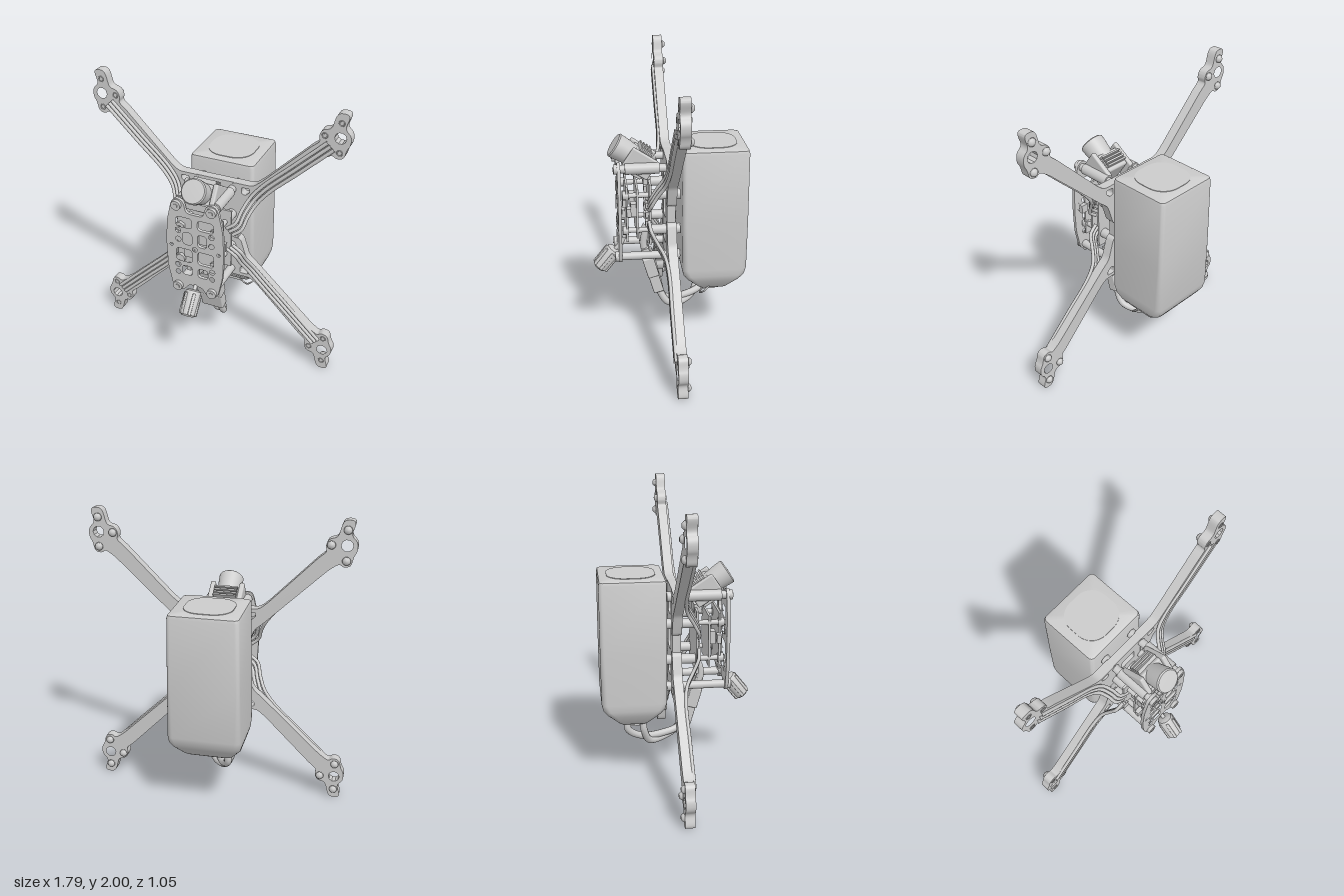
import * as THREE from 'three';
import { toCreasedNormals } from 'three/addons/utils/BufferGeometryUtils.js';
import { RoundedBoxGeometry } from 'three/addons/geometries/RoundedBoxGeometry.js';

const material = new THREE.MeshStandardMaterial({ color: 0xcccccc });
const V = (x, y, z) => new THREE.Vector3(x, y, z);

function add(parent, name, geometry, x = 0, y = 0, z = 0) {
  const mesh = new THREE.Mesh(geometry, material);
  mesh.name = name;
  mesh.position.set(x, y, z);
  parent.add(mesh);
  return mesh;
}

// Polygon with rounded corners
function roundPoly(points, r, PathType = THREE.Shape) {
  const path = new PathType();
  points.forEach((p, i) => {
    const c = new THREE.Vector2(...p);
    const n = points.length;
    const toward = (q) => {
      const d = new THREE.Vector2(...q).sub(c);
      return d.setLength(Math.min(r, d.length() * 0.48)).add(c);
    };
    const a = toward(points[(i + n - 1) % n]), b = toward(points[(i + 1) % n]);
    if (i) path.lineTo(a.x, a.y); else path.moveTo(a.x, a.y);
    path.quadraticCurveTo(c.x, c.y, b.x, b.y);
  });
  path.closePath();
  return path;
}

const rectHole = (x0, y0, x1, y1, r) =>
  roundPoly([[x0, y0], [x1, y0], [x1, y1], [x0, y1]], r, THREE.Path);
const circleHole = (x, y, r) => new THREE.Path().absarc(x, y, r, 0, Math.PI * 2, true);

function plate(parent, name, shape, z0, z1) {
  const g = new THREE.ExtrudeGeometry(shape, { depth: z1 - z0, bevelEnabled: false, curveSegments: 5 });
  return add(parent, name, toCreasedNormals(g, 0.6), 0, 0, z0);
}

// Cylinder along z
function rod(parent, name, r, x, y, z0, z1, sides = 20) {
  const g = new THREE.CylinderGeometry(r, r, z1 - z0, sides).rotateX(Math.PI / 2);
  return add(parent, name, g, x, y, (z0 + z1) / 2);
}

function box(parent, name, w, h, d, x, y, z) {
  return add(parent, name, new THREE.BoxGeometry(w, h, d), x, y, z);
}

function cable(parent, name, points, r) {
  return add(parent, name, new THREE.TubeGeometry(new THREE.CatmullRomCurve3(points), 40, r, 10));
}

// Skin over rounded rectangles [y, half width, half depth, corner radius], bottom to top
function loft(sections) {
  const pos = [], index = [], per = 8, n = per * 4;
  for (const [y, w, d, r] of sections) {
    for (let i = 0; i < n; i++) {
      const q = Math.floor(i / per), a = (q + (i % per) / (per - 1)) * Math.PI / 2;
      const sx = q === 0 || q === 3 ? 1 : -1, sz = q < 2 ? 1 : -1;
      pos.push(sx * (w - r) + r * Math.cos(a), y, sz * (d - r) + r * Math.sin(a));
    }
  }
  for (let s = 0; s < sections.length - 1; s++) {
    for (let i = 0; i < n; i++) {
      const a = s * n + i, b = s * n + (i + 1) % n;
      index.push(a, a + n, b, b, a + n, b + n);
    }
  }
  const g = new THREE.BufferGeometry();
  g.setAttribute('position', new THREE.Float32BufferAttribute(pos, 3));
  g.setIndex(index);
  return toCreasedNormals(g, 0.6);
}

function buildArm(root, sx, sy) {
  const arm = new THREE.Group();
  arm.name = (sy > 0 ? 'upper' : 'lower') + (sx > 0 ? 'Left' : 'Right') + 'Arm';
  root.add(arm);
  const at = ([x, y]) => [sx * x, 1 + sy * y];
  const outline = [[0.865, 1], [0.81, 1], [0.79, 0.975], [0.768, 0.885], [0.71, 0.875], [0.69, 0.825],
    [0.705, 0.79], [0.655, 0.75], [0.33, 0.42], [0.27, 0.37], [0.12, 0.37], [0.12, 0.06], [0.19, 0.06],
    [0.24, 0.22], [0.30, 0.27], [0.72, 0.67], [0.785, 0.715], [0.81, 0.69], [0.86, 0.70],
    [0.872, 0.765], [0.895, 0.80], [0.895, 0.86], [0.85, 0.9], [0.876, 0.975]];
  const shape = roundPoly(outline.map(at), 0.03);
  shape.holes.push(circleHole(...at([0.828, 0.835]), 0.038));
  shape.holes.push(roundPoly([[0.19, 0.345], [0.25, 0.345], [0.25, 0.32], [0.22, 0.29], [0.19, 0.3]].map(at), 0.01, THREE.Path));
  plate(arm, 'armPlate', shape, -0.05, 0.015);

  // Motor screws with domed heads behind
  for (const p of [[0.828, 0.935], [0.728, 0.835], [0.828, 0.735]]) {
    const [x, y] = at(p);
    const dome = new THREE.LatheGeometry([[0, -0.024], [0.014, -0.023], [0.025, -0.012], [0.029, 0], [0, 0]]
      .map(([r, h]) => new THREE.Vector2(r, h)), 18).rotateX(Math.PI / 2);
    add(arm, 'motorScrewHead', dome, x, y, -0.05);
    add(arm, 'motorScrewRim', new THREE.TorusGeometry(0.017, 0.004, 6, 18), x, y, 0.015);
  }

  // Three motor wires that bend forward into the stack
  for (let k = -1; k <= 1; k++) {
    const o = k * 0.021;
    const path = [[0.775, 0.775, 0.02], [0.55, 0.555, 0.02], [0.36, 0.37, 0.02], [0.285, 0.275, 0.038],
      [0.245, 0.19, 0.085], [0.22, 0.11, 0.125], [0.16, 0.06, 0.135]];
    cable(arm, 'motorWire', path.map(([x, y, z]) => V(sx * (x + o), 1 + sy * (y - o), z)), 0.012);
  }
}

function buildBattery(root) {
  const battery = new THREE.Group();
  battery.name = 'battery';
  battery.position.z = -0.31;
  root.add(battery);
  add(battery, 'batteryPack', loft([[0.415, 0, 0, 0], [0.415, 0.15, 0.085, 0.03], [0.43, 0.175, 0.105, 0.04],
    [0.51, 0.235, 0.185, 0.06], [0.55, 0.246, 0.212, 0.05], [0.6, 0.248, 0.223, 0.04], [0.95, 0.241, 0.224, 0.03],
    [1.43, 0.234, 0.222, 0.03], [1.45, 0.228, 0.216, 0.03], [1.457, 0.212, 0.2, 0.03], [1.457, 0, 0, 0]]));
  add(battery, 'topPatch', loft([[1.457, 0.163, 0.163, 0.125], [1.461, 0.163, 0.163, 0.125], [1.461, 0, 0, 0]]));
  box(battery, 'leadOutlet', 0.2, 0.04, 0.09, 0, 0.4, 0.02);
  cable(root, 'powerLead', [V(-0.13, 0.44, -0.36), V(-0.13, 0.37, -0.35), V(-0.08, 0.295, -0.25),
    V(-0.01, 0.275, -0.1), V(0.03, 0.30, 0.02), V(0.01, 0.39, 0.07)], 0.025);
  cable(root, 'powerLead', [V(-0.13, 0.44, -0.25), V(-0.13, 0.36, -0.24), V(-0.08, 0.26, -0.2),
    V(0.01, 0.235, -0.1), V(0.06, 0.27, 0), V(0.055, 0.39, 0.07)], 0.025);
  cable(root, 'balanceLead', [V(0.16, 0.45, -0.3), V(0.2, 0.42, -0.25), V(0.16, 0.385, -0.22), V(0.08, 0.39, -0.25)], 0.006);
}

function buildBody(root) {
  // Centre of the main frame, with slots
  const core = roundPoly([[-0.17, 0.63], [0.17, 0.63], [0.17, 1.37], [-0.17, 1.37]], 0.03);
  core.holes.push(rectHole(-0.06, 1.17, 0.06, 1.27, 0.02), rectHole(-0.06, 0.73, 0.06, 0.83, 0.02),
    rectHole(-0.07, 0.92, 0.07, 1.08, 0.03));
  plate(root, 'corePlate', core, -0.046, 0.012);

  // Front cover with its cut-outs
  const half = [[0.06, 1.265], [0.08, 1.35], [0.13, 1.37], [0.165, 1.34], [0.2, 1.18], [0.208, 1.0],
    [0.2, 0.82], [0.165, 0.66], [0.13, 0.635], [0.08, 0.65], [0.05, 0.7]];
  const cover = roundPoly([...half, ...half.map(([x, y]) => [-x, y]).reverse()], 0.03);
  cover.holes.push(circleHole(0, 1, 0.018));
  for (const s of [-1, 1]) {
    for (const [x0, y0, x1, y1] of [[0.02, 1.155, 0.135, 1.23], [0.02, 1.025, 0.085, 1.12],
      [0.02, 0.885, 0.135, 0.985], [0.02, 0.78, 0.095, 0.85]]) {
      cover.holes.push(rectHole(s * x0, y0, s * x1, y1, 0.025));
    }
    for (const [x, y, r] of [[0.12, 1.125, 0.02], [0.12, 1.055, 0.02], [0.125, 0.85, 0.02], [0.125, 0.79, 0.018], [0.17, 1.0, 0.012]]) {
      cover.holes.push(circleHole(s * x, y, r));
    }
  }
  plate(root, 'frontCover', cover, 0.32, 0.342);

  for (const x of [-0.125, 0.125]) {
    // Frame standoffs
    for (const y of [0.68, 1.32]) {
      rod(root, 'standoff', 0.028, x, y, 0.01, 0.32);
      rod(root, 'standoffScrew', 0.034, x, y, 0.342, 0.365);
      rod(root, 'screwSocket', 0.016, x, y, 0.365, 0.37, 6);
      rod(root, 'rearScrew', 0.034, x, y, -0.08, -0.05);
    }
    // Electronics bolts
    for (const y of [0.875, 1.13]) {
      rod(root, 'stackBolt', 0.018, x, y, -0.05, 0.31);
      rod(root, 'stackSpacer', 0.034, x, y, 0.015, 0.115);
      rod(root, 'stackNut', 0.034, x, y, 0.27, 0.31, 6);
      rod(root, 'stackBoltHead', 0.036, x, y, -0.08, -0.05);
    }
  }

  // Circuit boards and components
  const stack = new THREE.Group();
  stack.name = 'electronics';
  root.add(stack);
  box(stack, 'motorBoard', 0.34, 0.44, 0.016, 0, 1, 0.125);
  box(stack, 'controlBoard', 0.3, 0.36, 0.014, 0, 1, 0.21);
  box(stack, 'radioBoard', 0.3, 0.4, 0.014, 0, 1, 0.28);
  for (const s of [-1, 1]) {
    for (const y of [0.9, 0.965, 1.035, 1.1]) box(stack, 'chip', 0.045, 0.04, 0.02, s * 0.07, y, 0.143);
    box(stack, 'sideConnector', 0.05, 0.06, 0.03, s * 0.17, 1.03, 0.27);
    box(stack, 'sideTab', 0.04, 0.05, 0.012, s * 0.185, 1.02, 0.325);
    box(stack, 'plug', 0.06, 0.09, 0.04, s * 0.1, 1.02, 0.235);
    box(stack, 'antennaSocket', 0.03, 0.05, 0.03, s * 0.06, 0.82, 0.295);
  }
  box(stack, 'mainChip', 0.09, 0.09, 0.02, 0.04, 1.07, 0.297);
  box(stack, 'memoryChip', 0.07, 0.06, 0.02, -0.06, 0.93, 0.297);
  box(stack, 'capacitorBlock', 0.14, 0.06, 0.05, 0, 1.21, 0.14);
}

function buildCamera(root) {
  const camera = new THREE.Group();
  camera.name = 'camera';
  camera.position.set(0, 1.452, 0.355);
  camera.rotation.x = -0.585;
  root.add(camera);
  const profile = [[0, -0.2], [0.07, -0.2], [0.075, -0.14], [0.084, -0.05], [0.086, -0.008], [0.078, 0], [0, 0.003]];
  const barrel = new THREE.LatheGeometry(profile.map((p) => new THREE.Vector2(...p)), 32).rotateX(Math.PI / 2);
  add(camera, 'lensBarrel', toCreasedNormals(barrel, 0.7));
  add(camera, 'cameraBody', new RoundedBoxGeometry(0.18, 0.17, 0.14, 2, 0.015), 0, -0.015, -0.2);
  for (let i = 0; i < 4; i++) box(camera, 'coolingFin', 0.16, 0.04, 0.012, 0, 0.08, -0.235 + i * 0.024);
  // Cradle that clamps onto the upper standoffs
  for (const s of [-1, 1]) {
    rod(root, 'cradleSleeve', 0.038, s * 0.125, 1.32, 0.06, 0.29);
    const cheek = add(root, 'cradleCheek', new RoundedBoxGeometry(0.035, 0.15, 0.2, 2, 0.012), s * 0.102, 1.345, 0.185);
    cheek.rotation.x = -0.585;
  }
  box(root, 'cradleBridge', 0.2, 0.05, 0.06, 0, 1.3, 0.27);
}

function buildAntenna(root) {
  const antenna = new THREE.Group();
  antenna.name = 'antenna';
  antenna.position.set(0, 0.613, 0.42);
  antenna.rotation.x = -0.67;
  root.add(antenna);
  const profile = [[0, -0.092], [0.042, -0.092], [0.054, -0.08], [0.058, 0.06], [0.05, 0.083], [0.035, 0.092], [0, 0.092]];
  add(antenna, 'antennaCap', toCreasedNormals(new THREE.LatheGeometry(profile.map((p) => new THREE.Vector2(...p)), 24), 0.6));
  for (let i = 0; i < 6; i++) {
    const a = i * Math.PI / 3;
    const rib = add(antenna, 'capRib', new RoundedBoxGeometry(0.018, 0.15, 0.022, 2, 0.006), 0.055 * Math.cos(a), -0.008, 0.055 * Math.sin(a));
    rib.rotation.y = -a;
  }
  cable(root, 'antennaStem', [V(0, 0.66, 0.38), V(0, 0.72, 0.32), V(0, 0.77, 0.295), V(0.03, 0.82, 0.29)], 0.014);
}

function buildPowerPlug(root) {
  const plug = new THREE.Group();
  plug.name = 'powerPlug';
  plug.position.set(0.01, 0.5, 0.1);
  plug.rotation.x = 0.28;
  root.add(plug);
  add(plug, 'plugLowerHalf', new RoundedBoxGeometry(0.165, 0.13, 0.072, 2, 0.008), 0.005, -0.075, 0);
  add(plug, 'plugUpperHalf', new RoundedBoxGeometry(0.185, 0.15, 0.08, 2, 0.008), 0, 0.065, 0);
  box(plug, 'plugNeck', 0.14, 0.08, 0.055, 0, 0.17, 0);
  for (const x of [-0.04, 0.04]) {
    cable(root, 'boardLead', [V(x, 0.64, 0.14), V(x, 0.72, 0.165), V(x, 0.78, 0.16), V(x, 0.84, 0.135)], 0.026);
  }
}

export function createModel() {
  const root = new THREE.Group();
  root.name = 'quadcopter';
  for (const sx of [-1, 1]) for (const sy of [-1, 1]) buildArm(root, sx, sy);
  buildBody(root);
  buildBattery(root);
  buildCamera(root);
  buildAntenna(root);
  buildPowerPlug(root);
  return root;
}
